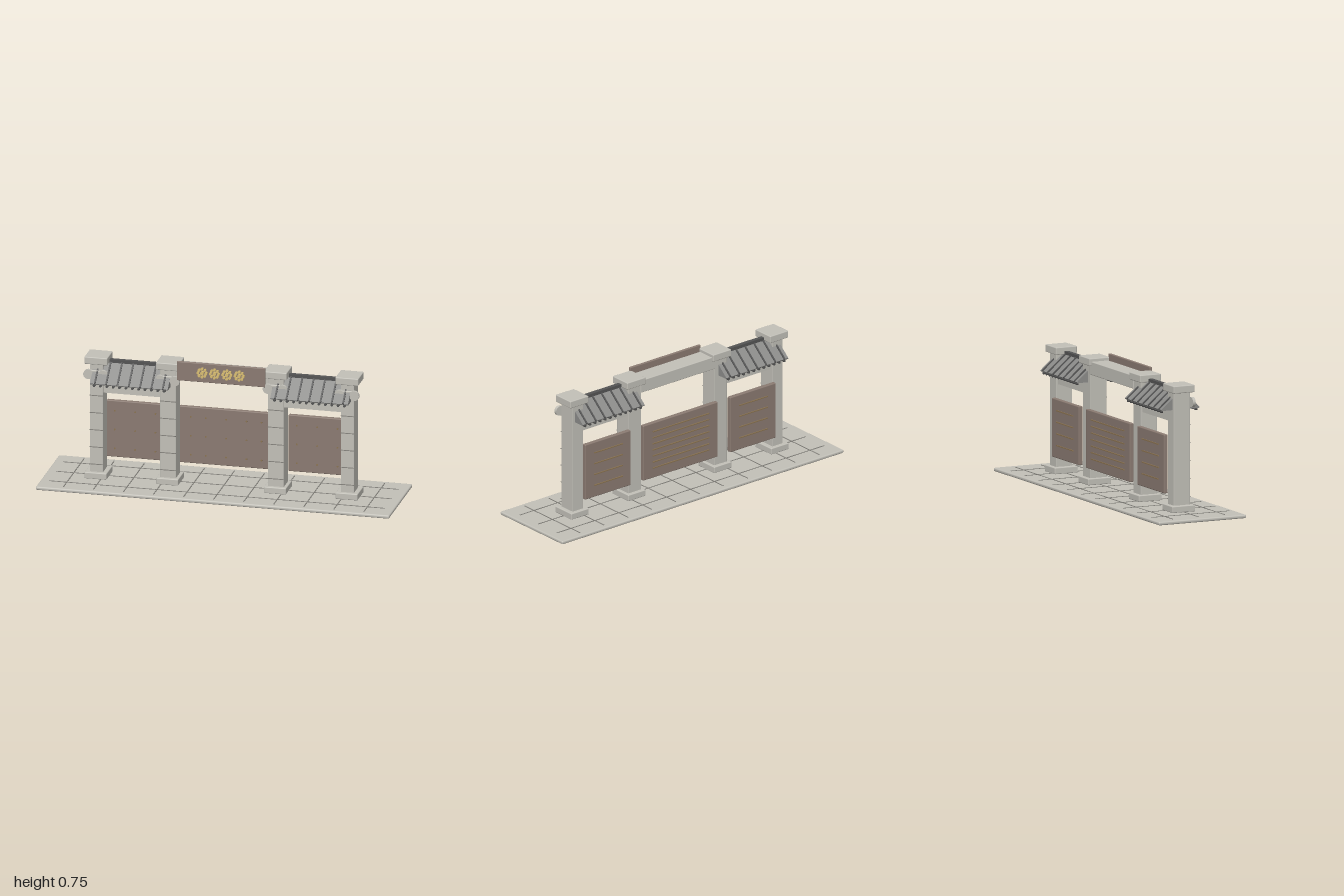
import * as THREE from 'three';
import { RoundedBoxGeometry } from 'three/addons/geometries/RoundedBoxGeometry.js';

const mat = (color) => new THREE.MeshStandardMaterial({ color });
const stone = mat(0xc2c0b8), joint = mat(0x85837d), tile = mat(0x8c8c8a), darkTile = mat(0x555555);
const wood = mat(0x8b7b72), bronze = mat(0x8a7352), gold = mat(0xd8bd72);

function add(parent, name, geometry, material, x, y, z) {
  const mesh = new THREE.Mesh(geometry, material);
  mesh.name = name;
  mesh.position.set(x, y, z);
  parent.add(mesh);
  return mesh;
}
const box = (w, h, d) => new THREE.BoxGeometry(w, h, d);
const rounded = (w, h, d, r = 0.005) => new RoundedBoxGeometry(w, h, d, 2, r);
const disc = (r, depth, sides = 20) => new THREE.CylinderGeometry(r, r, depth, sides).rotateX(Math.PI / 2);
function group(parent, name, x = 0) {
  const g = new THREE.Group();
  g.name = name;
  g.position.x = x;
  parent.add(g);
  return g;
}

// Paved platform with thin raised joints
function buildPlatform(parent) {
  const g = group(parent, 'platform');
  add(g, 'slab', rounded(2, 0.02, 0.54, 0.008), stone, 0, 0.01, 0);
  for (let i = -5; i <= 5; i++) add(g, 'crossJoint', box(0.005, 0.003, 0.48), joint, i * 0.17, 0.021, 0);
  for (const z of [-0.16, 0, 0.16]) add(g, 'longJoint', box(1.9, 0.003, 0.005), joint, 0, 0.021, z);
}

// Pillar with foot, cap, masonry courses and round cloud ornaments
function buildPillar(parent, x, width) {
  const g = group(parent, 'pillar', x);
  add(g, 'shaft', rounded(width, 0.69, 0.1, 0.003), stone, 0, 0.36, 0);
  add(g, 'foot', rounded(0.125, 0.037, 0.142), stone, 0, 0.0375, 0);
  add(g, 'cap', rounded(0.13, 0.042, 0.13), stone, 0, 0.705, 0);
  for (let i = 1; i <= 5; i++) add(g, 'courseLine', box(width, 0.004, 0.004), joint, 0, i * 0.1, 0.0515);
  for (const s of [-1, 1]) add(g, 'cloudScroll', disc(0.028, 0.016), stone, s * 0.042, 0.626, 0.061);
  add(g, 'cloudCentre', rounded(0.06, 0.03, 0.012), stone, 0, 0.635, 0.056);
}

// Gabled tile roof on a lintel
function buildRoof(parent, x) {
  const g = group(parent, 'sideRoof', x);
  const half = 0.22, eaveZ = 0.115, eaveY = 0.586, ridgeY = 0.693;
  add(g, 'lintel', box(0.34, 0.07, 0.08), stone, 0, 0.552, 0);
  const gable = new THREE.Shape();
  gable.moveTo(-eaveZ, eaveY);
  gable.lineTo(eaveZ, eaveY);
  gable.lineTo(eaveZ + 0.003, eaveY + 0.006);
  gable.lineTo(0, ridgeY);
  gable.lineTo(-eaveZ - 0.003, eaveY + 0.006);
  const body = new THREE.ExtrudeGeometry(gable, { depth: half * 2, bevelEnabled: false });
  body.translate(0, 0, -half).rotateY(Math.PI / 2);
  add(g, 'roofBody', body, tile, 0, 0, 0);
  add(g, 'ridge', box(0.3, 0.018, 0.024), darkTile, 0, 0.694, 0);
  const angle = Math.atan2(ridgeY - eaveY - 0.006, eaveZ + 0.003);
  const length = Math.hypot(ridgeY - eaveY - 0.006, eaveZ + 0.003);
  for (const s of [-1, 1]) {
    for (let i = -3; i <= 3; i++) {
      const rib = add(g, 'tileRib', box(0.009, 0.01, length), darkTile, i * 0.064, 0.643, s * 0.059);
      rib.rotation.x = s * angle;
    }
    for (let i = 0; i < 12; i++) {
      add(g, 'eaveTileEnd', disc(0.0075, 0.014, 10), darkTile, (i - 5.5) * 0.036, 0.579, s * 0.106);
    }
  }
}

// Rear panel with rivets in front and horizontal rods behind
function buildPanel(parent, x, width, rodWidth, rods, rivetColumns) {
  const g = group(parent, 'rearPanel', x);
  add(g, 'board', rounded(width, 0.328, 0.025), wood, 0, 0.279, -0.0625);
  for (const cx of rivetColumns)
    for (const y of [0.165, 0.275, 0.385]) add(g, 'rivet', disc(0.005, 0.004, 10), bronze, cx, y, -0.049);
  for (let i = 0; i < rods; i++) {
    const y = 0.284 + (i - (rods - 1) / 2) * (0.218 / (rods - 1)) * (rods > 4 ? 1 : 0.89);
    add(g, 'rod', box(rodWidth, 0.006, 0.007), bronze, 0, y, -0.0775);
  }
}

// Central beam with sign board and a row of gold rosettes
function buildCentre(parent) {
  const g = group(parent, 'centralSpan');
  add(g, 'beam', rounded(0.53, 0.074, 0.106, 0.004), stone, 0, 0.671, 0);
  add(g, 'signBoard', rounded(0.5, 0.11, 0.016, 0.004), wood, 0, 0.69, 0.063);
  for (let i = 0; i < 4; i++) {
    const cx = (i - 1.5) * 0.07;
    add(g, 'rosetteCentre', disc(0.01, 0.014, 12), gold, cx, 0.692, 0.077);
    for (let k = 0; k < 8; k++) {
      const a = k * Math.PI / 4;
      add(g, 'rosettePetal', disc(0.008, 0.014, 10), gold, cx + Math.cos(a) * 0.023, 0.692 + Math.sin(a) * 0.023, 0.077);
    }
  }
}

export function createModel() {
  const model = new THREE.Group();
  model.name = 'gateway';
  buildPlatform(model);
  buildCentre(model);
  buildPanel(model, 0, 0.53, 0.4, 7, [-0.2, -0.115, 0, 0.115, 0.2]);
  for (const s of [-1, 1]) {
    buildPillar(model, s * 0.71, 0.075);
    buildPillar(model, s * 0.305, 0.09);
    buildRoof(model, s * 0.51);
    buildPanel(model, s * 0.515, 0.325, 0.2, 4, [-0.115, 0, 0.115]);
  }
  return model;
}
